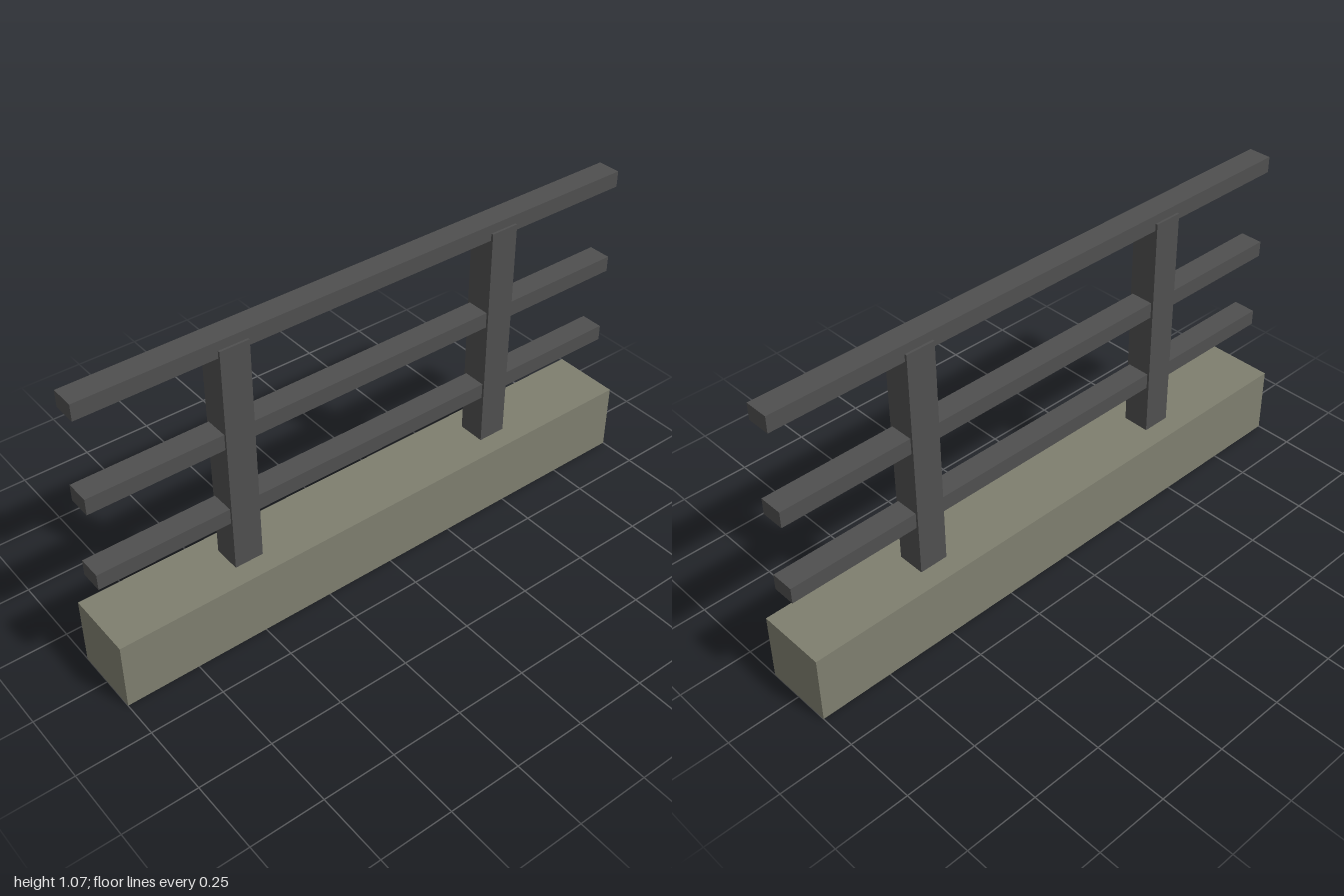
import * as THREE from 'three';

export function createModel() {
  const group = new THREE.Group();
  const concrete = new THREE.MeshStandardMaterial({ color: 0x7f7f6f });
  concrete.name = 'concrete';
  const metal = new THREE.MeshStandardMaterial({ color: 0x4f4f4f });
  metal.name = 'darkMetal';

  // Box standing between two heights, centred on x
  function addBox(name, material, width, bottom, top, depth, z = 0) {
    const mesh = new THREE.Mesh(new THREE.BoxGeometry(width, top - bottom, depth), material);
    mesh.position.set(0, (bottom + top) / 2, z);
    mesh.name = name;
    group.add(mesh);
  }

  // Concrete kerb
  addBox('kerb', concrete, 0.24, 0, 0.24, 2);

  // Two posts, ending inside the top rail
  addBox('frontPost', metal, 0.096, 0.24, 1.04, 0.1, 0.5);
  addBox('backPost', metal, 0.096, 0.24, 1.04, 0.1, -0.5);

  // Three full-length rails
  const rails = { lowerRail: 0.415, middleRail: 0.695, topRail: 1.015 };
  for (const [name, bottom] of Object.entries(rails)) {
    addBox(name, metal, 0.08, bottom, bottom + 0.055, 2);
  }
  return group;
}
